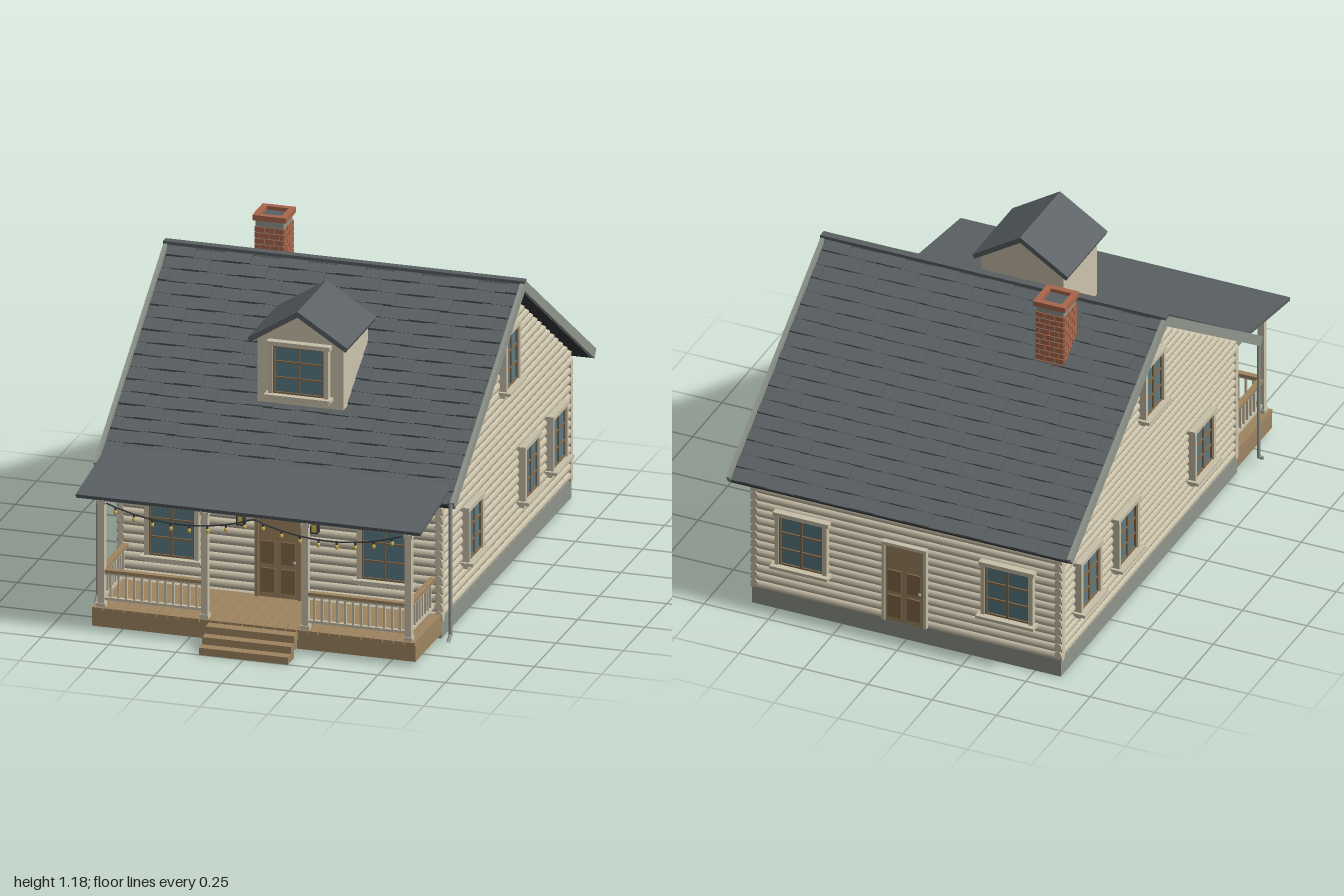
import * as THREE from 'three';
import { mergeGeometries } from 'three/addons/utils/BufferGeometryUtils.js';

const mat = (name, color) => Object.assign(new THREE.MeshStandardMaterial({ color }), { name });

// Geometry helpers: placed box, placed cylinder, rod between two points
const box = (w, h, d, x = 0, y = 0, z = 0, rx = 0) =>
  new THREE.BoxGeometry(w, h, d).rotateX(rx).translate(x, y, z);
const rod = (a, b, r, sides = 8) =>
  new THREE.TubeGeometry(new THREE.LineCurve3(new THREE.Vector3(...a), new THREE.Vector3(...b)), 1, r, sides);

function part(parent, name, material, geos) {
  const flat = geos.map((g) => (g.index ? g.toNonIndexed() : g));
  const mesh = new THREE.Mesh(mergeGeometries(flat), material);
  mesh.name = name;
  parent.add(mesh);
  return mesh;
}
function group(parent, name, x = 0, y = 0, z = 0, ry = 0) {
  const g = new THREE.Group();
  g.name = name;
  g.position.set(x, y, z);
  g.rotation.y = ry;
  parent.add(g);
  return g;
}
// Prism from an outline, extruded along z and centred on it
function prism(points, depth) {
  const s = new THREE.Shape(points.map((p) => new THREE.Vector2(...p)));
  return new THREE.ExtrudeGeometry(s, { depth, bevelEnabled: false }).translate(0, 0, -depth / 2);
}

export function createModel() {
  const M = {
    siding: mat('siding', 0xcdc4ac), roof: mat('roof slate', 0x5a6063), gap: mat('dark metal', 0x36393b),
    stone: mat('grey stone', 0x8f958c), wood: mat('wood', 0x9f8562), brick: mat('brick', 0xa9674c),
    glass: mat('glass', 0x5b7a84), trim: mat('trim', 0xc8c0a9), bulb: mat('warm light', 0xd9b950),
    sash: mat('window sash', 0x84694a),
  };
  const house = new THREE.Group();
  house.name = 'house';
  const ZC = -0.17, SLOPE = 0.67, PITCH = Math.atan(SLOPE);

  // Foundation and gabled core
  part(house, 'foundation', M.stone, [box(1.2, 0.07, 1.5, 0, 0.035, ZC)]);
  const eave = 1.05 - SLOPE * 0.74;
  part(house, 'wallCore', M.siding, [
    prism([[-0.74, 0.07], [0.74, 0.07], [0.74, eave], [0, 1.05], [-0.74, eave]], 1.18)
      .rotateY(Math.PI / 2).translate(0, 0, ZC)]);

  // Rounded siding courses, interlocking at the corners
  const logs = [];
  const log = (len) => new THREE.CylinderGeometry(1, 1, len, 10).scale(0.014, 1, 0.0175);
  for (let i = 0; i < 29; i++) {
    const y = 0.087 + i * 0.033;
    const half = Math.min(0.755, (1.045 - y) / SLOPE);
    for (const s of [-1, 1]) {
      logs.push(log(half * 2).rotateZ(Math.PI / 2).rotateY(Math.PI / 2).rotateZ(Math.PI / 2)
        .translate(s * 0.59, y, ZC));
      if (y < 0.53) logs.push(log(1.21).rotateY(Math.PI / 2).rotateZ(Math.PI / 2)
        .translate(0, y - 0.008, ZC + s * 0.74));
    }
  }
  part(house, 'logSiding', M.siding, logs);

  // Main roof: two slopes of staggered shingles with barge boards
  const L = 0.82 / Math.cos(PITCH), ROWS = 18, step = L / ROWS;
  for (const [name, ry] of [['frontRoof', 0], ['backRoof', Math.PI]]) {
    const g = group(house, name, 0, 1.09, ZC);
    g.rotation.set(PITCH, ry, 0, 'YXZ');
    part(g, 'roofDeck', M.gap, [box(1.31, 0.018, L, 0, -0.023, L / 2)]);
    const tabs = [];
    for (let i = 0; i < ROWS; i++) {
      const shift = (i % 3) * 0.035;
      for (let j = 0, x = -0.652; x < 0.651; j++) {
        const end = Math.min(0.652, -0.652 + (j + 1) * 0.105 - shift);
        const t = (i + j) % 2 ? 0.009 : 0.013;
        tabs.push(box(end - x - 0.002, t, step + 0.006, (x + end) / 2, -0.015 + t / 2, (i + 0.5) * step, -0.1));
        x = end;
      }
    }
    part(g, 'shingles', M.roof, tabs);
    part(g, 'bargeBoards', M.stone, [-1, 1].map((s) => box(0.014, 0.036, L, s * 0.662, -0.014, L / 2)));
  }
  part(house, 'ridgeCap', M.roof, [box(1.34, 0.012, 0.03, 0, 1.088, ZC)]);

  // Window facing +z, its origin on the wall surface
  function addWindow(parent, w, h, x, y, z, ry = 0) {
    const g = group(parent, 'window', x, y, z, ry);
    const f = 0.016;
    part(g, 'glass', M.glass, [box(w, h, 0.012, 0, 0, 0.004)]);
    part(g, 'frame', M.trim, [
      box(f, h, 0.03, -w / 2 - f / 2, 0, 0.008), box(f, h, 0.03, w / 2 + f / 2, 0, 0.008),
      box(w + 0.045, f, 0.034, 0, h / 2 + f / 2, 0.008), box(w + 0.055, 0.012, 0.05, 0, -h / 2 - 0.006, 0.016),
      box(w + 0.03, 0.014, 0.024, 0, -h / 2 - 0.019, 0.006)]);
    const bars = [box(0.007, h, 0.008, 0, 0, 0.012)];
    for (const s of [-1, 1]) bars.push(
      box(w, 0.006, 0.008, 0, s * h / 6, 0.012), box(w, 0.006, 0.009, 0, s * (h / 2 - 0.003), 0.012),
      box(0.006, h, 0.009, s * (w / 2 - 0.003), 0, 0.012));
    part(g, 'sashBars', M.sash, bars);
  }
  for (const s of [-1, 1]) {
    for (const z of [0.254, -0.393, -0.715]) addWindow(house, 0.145, 0.19, s * 0.604, 0.3, z, s * Math.PI / 2);
    addWindow(house, 0.135, 0.2, s * 0.604, 0.795, -0.17, s * Math.PI / 2);
    addWindow(house, 0.17, 0.21, s * 0.395, 0.305, 0.584);
    addWindow(house, 0.17, 0.2, s * 0.4, 0.3, -0.924, Math.PI);
  }

  // Panelled doors, front and back
  for (const [name, z, ry, y] of [['frontDoor', 0.584, 0, 0.09], ['backDoor', -0.924, Math.PI, 0.075]]) {
    const g = group(house, name, 0, y, z, ry);
    part(g, 'doorLeaf', M.wood, [box(0.15, 0.31, 0.014, 0, 0.155, 0.004)]);
    part(g, 'doorFrame', name === 'backDoor' ? M.trim : M.wood, [
      box(0.012, 0.325, 0.026, -0.08, 0.1625, 0.006), box(0.012, 0.325, 0.026, 0.08, 0.1625, 0.006),
      box(0.172, 0.012, 0.026, 0, 0.319, 0.006)]);
    const panels = [];
    for (const s of [-1, 1]) panels.push(box(0.052, 0.085, 0.008, s * 0.038, 0.17, 0.013),
      box(0.052, 0.09, 0.008, s * 0.038, 0.065, 0.013));
    part(g, 'doorPanels', M.sash, panels);
    part(g, 'doorKnob', M.stone, [new THREE.SphereGeometry(0.007, 10, 8).translate(0.062, 0.14, 0.022)]);
  }

  // Wall lamps beside the front door
  for (const s of [-1, 1]) {
    const g = group(house, 'wallLamp', s * 0.137, 0.373, 0.6);
    part(g, 'lampCase', M.gap, [box(0.028, 0.005, 0.03, 0, 0.017, 0), box(0.028, 0.005, 0.03, 0, -0.017, 0),
      ...[-1, 1].map((k) => box(0.004, 0.034, 0.028, k * 0.012, 0, 0))]);
    part(g, 'lampGlow', M.bulb, [box(0.02, 0.03, 0.022)]);
  }

  // Porch floor, skirt and steps
  part(house, 'porchSkirt', M.wood, [box(1.2, 0.06, 0.3, 0, 0.048, 0.73)]);
  const boards = [];
  for (let i = 0; i < 30; i++) boards.push(box(0.037, 0.012, 0.31, -0.58 + i * 0.04, 0.084, 0.73));
  part(house, 'porchBoards', M.wood, boards);
  part(house, 'steps', M.wood, [0, 1, 2].map((i) =>
    box(0.33, 0.027, 0.07, 0, 0.0135 + i * 0.027, 0.965 - i * 0.037)));

  // Posts, beams and railings
  const posts = [], rails = [], pickets = [];
  for (const x of [-0.57, -0.187, 0.187, 0.57]) posts.push(box(0.024, 0.41, 0.024, x, 0.295, 0.86),
    box(0.032, 0.014, 0.032, x, 0.484, 0.86), box(0.032, 0.014, 0.032, x, 0.097, 0.86));
  part(house, 'porchPosts', M.trim, posts);
  part(house, 'porchBeams', M.stone, [box(1.2, 0.026, 0.026, 0, 0.503, 0.86),
    ...[-1, 1].map((s) => box(0.024, 0.026, 0.27, s * 0.57, 0.503, 0.72))]);
  for (const s of [-1, 1]) {
    rails.push(box(0.36, 0.012, 0.022, s * 0.378, 0.224, 0.86), box(0.022, 0.012, 0.26, s * 0.57, 0.224, 0.718));
    pickets.push(box(0.36, 0.01, 0.014, s * 0.378, 0.12, 0.86), box(0.014, 0.01, 0.26, s * 0.57, 0.12, 0.718),
      box(0.36, 0.008, 0.012, s * 0.378, 0.214, 0.86), box(0.012, 0.008, 0.26, s * 0.57, 0.214, 0.718));
    for (let i = 0; i < 12; i++) pickets.push(box(0.008, 0.095, 0.008, s * (0.218 + i * 0.029), 0.167, 0.86));
    for (let i = 0; i < 8; i++) pickets.push(box(0.008, 0.095, 0.008, s * 0.57, 0.167, 0.615 + i * 0.03));
  }
  part(house, 'handrails', M.wood, rails);
  part(house, 'railPickets', M.trim, pickets);

  // Lean-to porch roof
  part(house, 'porchRoof', M.roof, [box(1.28, 0.013, 0.365, 0, 0.553, 0.765, 0.15)]);

  // Downspouts with kicked-out feet
  for (const s of [-1, 1]) part(house, 'downspout', M.stone, [
    rod([s * 0.655, 0.545, 0.645], [s * 0.655, 0.04, 0.645], 0.007),
    rod([s * 0.655, 0.045, 0.643], [s * 0.655, 0.022, 0.675], 0.007)]);

  // Festoon lights along the porch, two sagging spans
  const wireY = (x) => 0.435 + 0.05 * ((Math.abs(x) - 0.275) / 0.275) ** 2;
  const wire = [], caps = [], bulbs = [];
  for (let i = 0; i <= 32; i++) {
    const x = -0.55 + i * 1.1 / 32;
    wire.push(new THREE.Vector3(x, wireY(x), 0.876));
  }
  for (let i = 0; i < 16; i++) {
    const x = -0.515 + i * 0.0685, y = wireY(x);
    caps.push(new THREE.CylinderGeometry(0.004, 0.004, 0.012, 8).translate(x, y - 0.006, 0.876));
    bulbs.push(new THREE.SphereGeometry(0.007, 10, 8).scale(1, 1.4, 1).translate(x, y - 0.019, 0.876));
  }
  part(house, 'lightWire', M.gap, [new THREE.TubeGeometry(new THREE.CatmullRomCurve3(wire), 64, 0.0028, 6), ...caps]);
  part(house, 'lightBulbs', M.bulb, bulbs);

  // Dormer
  const dormer = group(house, 'dormer', 0.012, 0, 0);
  part(dormer, 'dormerWalls', M.siding, [
    prism([[-0.16, 0.74], [0.16, 0.74], [0.16, 0.98], [0, 1.082], [-0.16, 0.98]], 0.285).translate(0, 0, 0.2375)]);
  addWindow(dormer, 0.19, 0.18, 0, 0.875, 0.383);
  part(dormer, 'dormerRoof', M.roof, [
    prism([[0, 1.106], [-0.185, 0.988], [-0.178, 0.972], [0, 1.084], [0.178, 0.972], [0.185, 0.988]], 0.34)
      .translate(0, 0, 0.245)]);

  // Brick chimney: mortar core, staggered bricks, open cap
  const chimney = group(house, 'chimney', -0.317, 0, -0.34);
  part(chimney, 'mortarCore', M.stone, [box(0.104, 0.285, 0.104, 0, 1.0225, 0)]);
  const bricks = [];
  for (let i = 0; i < 12; i++) for (let k = 0; k < 4; k++) {
    const cuts = i % 2 ? [-0.055, -0.018, 0.019, 0.055] : [-0.055, -0.037, 0, 0.037, 0.055];
    for (let j = 0; j + 1 < cuts.length; j++)
      bricks.push(box(cuts[j + 1] - cuts[j] - 0.004, 0.018, 0.01, (cuts[j] + cuts[j + 1]) / 2, 0.885 + i * 0.022, 0.051)
        .rotateY(k * Math.PI / 2));
  }
  for (let k = 0; k < 4; k++) bricks.push(box(0.1025, 0.02, 0.0225, -0.01, 1.172, 0.05125).rotateY(k * Math.PI / 2));
  part(chimney, 'bricks', M.brick, bricks);
  part(chimney, 'flue', M.roof, [box(0.084, 0.004, 0.084, 0, 1.166, 0)]);
  return house;
}
